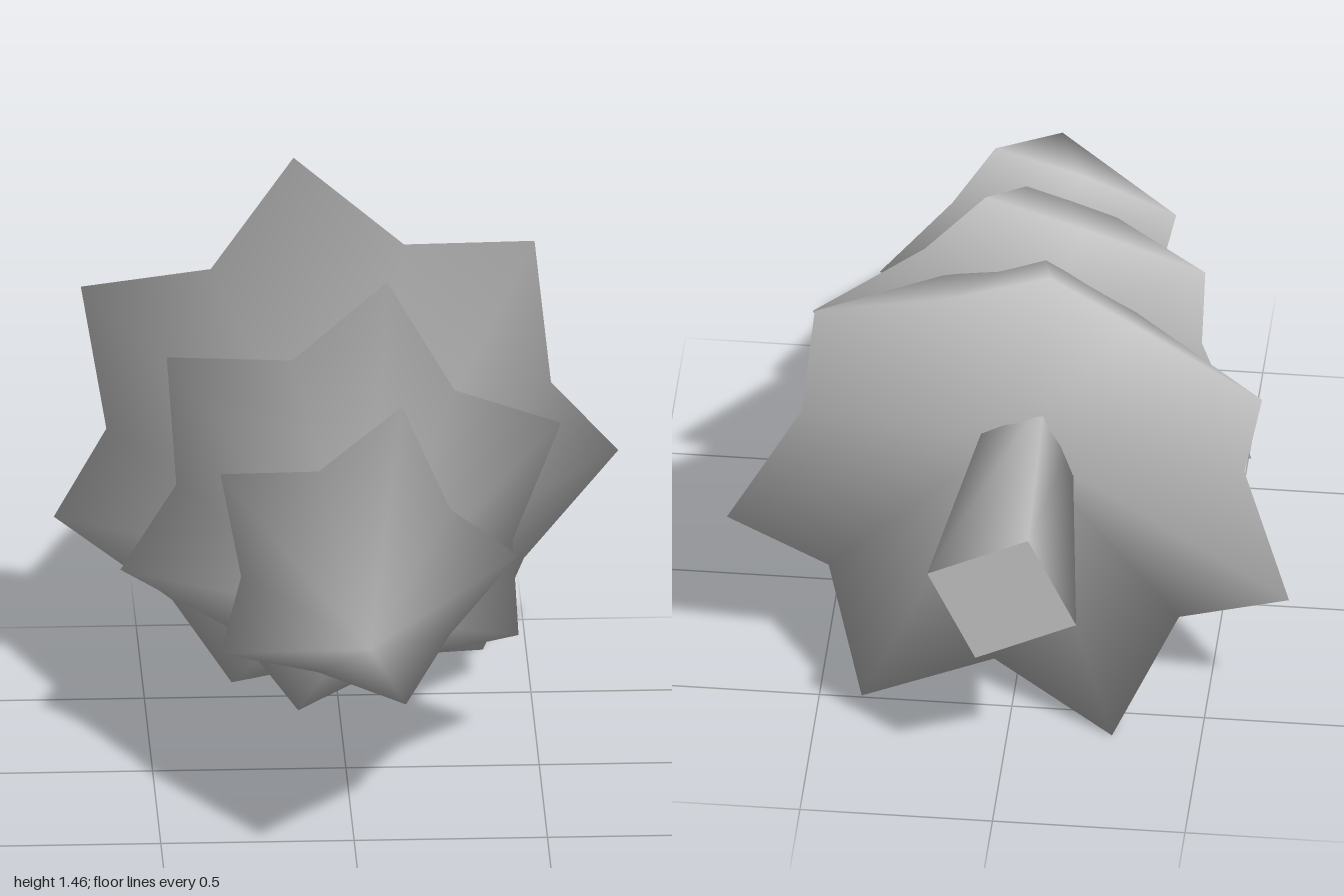
import * as THREE from 'three';

const bark = new THREE.MeshStandardMaterial({ color: 0xc0c0c0, side: THREE.DoubleSide });
bark.name = 'pale grey';

// Each tier: star rim [x, y] alternating tip and valley (clockwise from the front), and its depths
const tiers = [
  {
    name: 'topTier', apex: 1, tipZ: 0.36, valleyZ: 0.45, hollowZ: 0.54,
    rim: [[0.13, 1.15], [0.25, 0.9], [0.43, 0.73], [0.25, 0.55], [0.14, 0.32], [-0.09, 0.45],
      [-0.34, 0.47], [-0.29, 0.72], [-0.34, 0.97], [-0.09, 1.01]],
  },
  {
    name: 'middleTier', apex: 0.8, tipZ: -0.08, valleyZ: 0.03, hollowZ: 0.14,
    rim: [[0.11, 1.32], [0.28, 1.06], [0.56, 0.92], [0.43, 0.64], [0.45, 0.33], [0.14, 0.31],
      [-0.12, 0.13], [-0.29, 0.4], [-0.58, 0.53], [-0.44, 0.81], [-0.46, 1.12], [-0.14, 1.15]],
  },
  {
    name: 'bottomTier', apex: 0.5, tipZ: -0.6, valleyZ: -0.46, hollowZ: -0.33,
    rim: [[-0.11, 1.46], [0.17, 1.27], [0.51, 1.25, -0.52], [0.55, 0.88], [0.73, 0.63], [0.48, 0.39],
      [0.38, 0.08], [0.05, 0.12], [-0.27, 0], [-0.43, 0.29], [-0.73, 0.47], [-0.6, 0.77],
      [-0.66, 1.11], [-0.33, 1.21]],
  },
];

const AXIS_X = 0.02;
const AXIS_Y = 0.735;

// Smooth normals, each face weighted by its corner angle
function angleWeightedNormals(points, index) {
  const normals = points.map(() => new THREE.Vector3());
  for (let f = 0; f < index.length; f += 3) {
    const ids = index.slice(f, f + 3);
    const [a, b, c] = ids.map((id) => points[id]);
    const face = new THREE.Triangle(a, b, c).getNormal(new THREE.Vector3());
    ids.forEach((id, k) => {
      const toNext = points[ids[(k + 1) % 3]].clone().sub(points[id]);
      const toPrev = points[ids[(k + 2) % 3]].clone().sub(points[id]);
      normals[id].addScaledVector(face, toNext.angleTo(toPrev));
    });
  }
  return normals.map((n) => n.normalize());
}

// Closed star cone: apex, hollow centre behind it, and one shared rim
function tierGeometry({ apex, hollowZ, tipZ, valleyZ, rim }) {
  const points = [
    new THREE.Vector3(AXIS_X, AXIS_Y, apex),
    new THREE.Vector3(AXIS_X, AXIS_Y, hollowZ),
  ];
  const index = [];
  rim.forEach(([x, y, z], i) => {
    points.push(new THREE.Vector3(x, y, z ?? (i % 2 ? valleyZ : tipZ)));
    const a = 2 + i;
    const b = 2 + ((i + 1) % rim.length);
    index.push(0, b, a, 1, a, b);
  });
  const flat = (vectors) =>
    new THREE.Float32BufferAttribute(vectors.flatMap((v) => v.toArray()), 3);
  const g = new THREE.BufferGeometry();
  g.setAttribute('position', flat(points));
  g.setAttribute('normal', flat(angleWeightedNormals(points, index)));
  g.setIndex(index);
  return g;
}

export function createModel() {
  const tree = new THREE.Group();
  tree.name = 'recliningTree';

  // Three star-edged foliage cones
  for (const t of tiers) {
    const tier = new THREE.Mesh(tierGeometry(t), bark);
    tier.name = t.name;
    tree.add(tier);
  }

  // Four-sided trunk with softened corners, flaring towards the foot at the back
  const length = 0.75;
  const g = new THREE.CylinderGeometry(0.115, 0.205, length, 4);
  g.rotateX(Math.PI / 2);
  g.rotateZ(THREE.MathUtils.degToRad(19.5));
  const trunk = new THREE.Mesh(g, bark);
  trunk.name = 'trunk';
  trunk.position.set(-0.024, 0.716, -1 + length / 2);
  tree.add(trunk);

  return tree;
}
